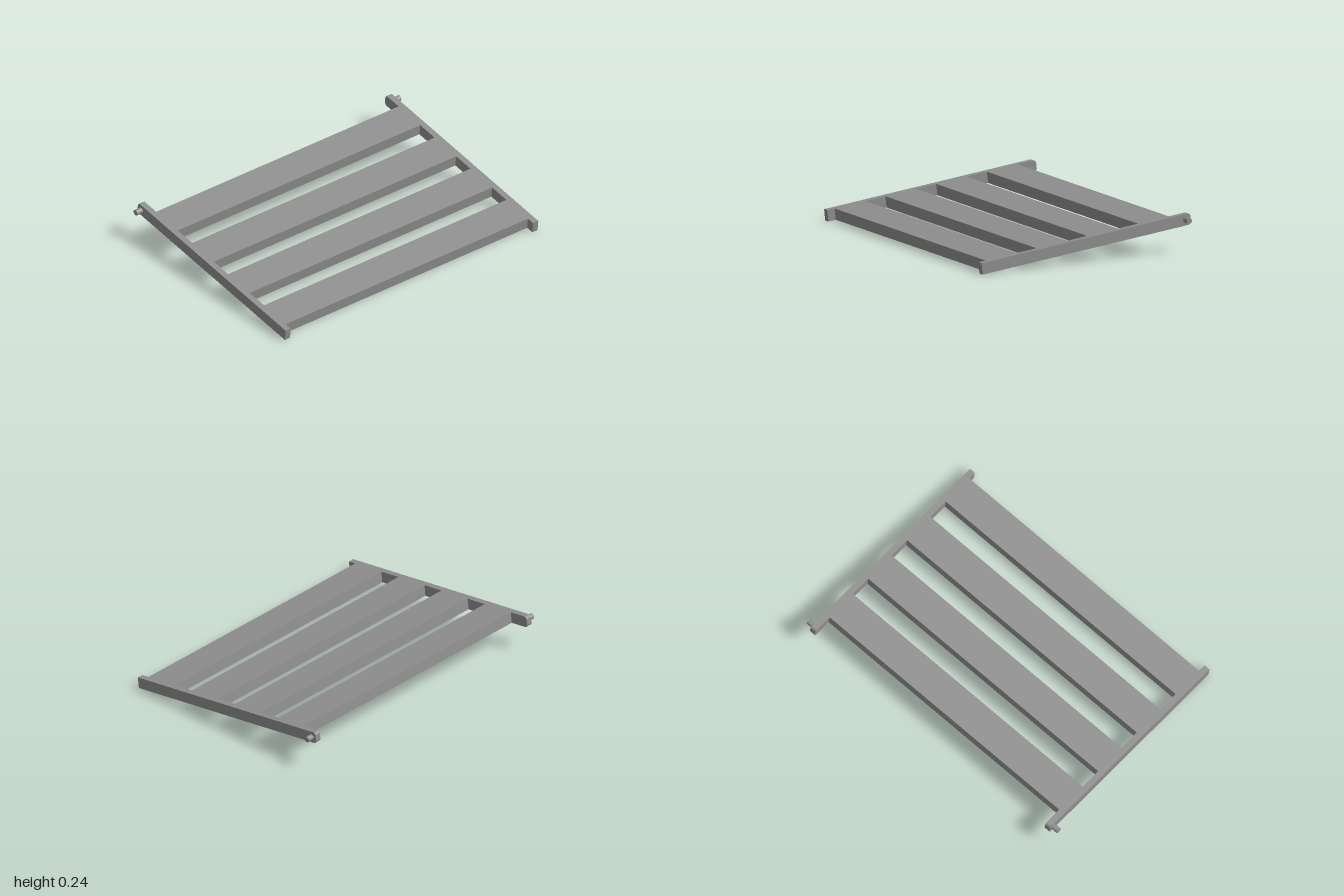
import * as THREE from 'three';

export function createModel() {
  const model = new THREE.Group();
  model.name = 'slattedRack';
  const grey = new THREE.MeshStandardMaterial({ color: 0x909090 });
  grey.name = 'grey';

  const half = 0.719, h = 0.035, r = 0.02;      // rail half length, half thickness, corner radius
  const inner = 0.918, outer = 0.957;           // rail faces in x

  const add = (name, geometry, x, y, z) => {
    const mesh = new THREE.Mesh(geometry, grey);
    mesh.name = name;
    mesh.position.set(x, y, z);
    model.add(mesh);
  };

  // Side rail outline: square front end, rounded back end (shape +x becomes -z)
  const outline = new THREE.Shape();
  outline.moveTo(-half, -h);
  outline.lineTo(half - r, -h);
  outline.absarc(half - r, -h + r, r, -Math.PI / 2, 0, false);
  outline.lineTo(half, h - r);
  outline.absarc(half - r, h - r, r, 0, Math.PI / 2, false);
  outline.lineTo(-half, h);
  outline.closePath();
  const railGeometry = new THREE.ExtrudeGeometry(outline, {
    depth: outer - inner, bevelEnabled: false, curveSegments: 8,
  });
  railGeometry.translate(0, 0, -(outer - inner) / 2).rotateY(Math.PI / 2);

  // Pivot pin, long enough to sink into its rail
  const pinGeometry = new THREE.CylinderGeometry(0.018, 0.018, 0.06, 24).rotateZ(Math.PI / 2);

  for (const [side, s] of [['left', 1], ['right', -1]]) {
    add(side + 'Rail', railGeometry, s * (inner + outer) / 2, 0, 0);
    add(side + 'PivotPin', pinGeometry, s * 0.97, 0, -0.685);
  }

  // Four wide slats flush with the rails
  const slatGeometry = new THREE.BoxGeometry(inner * 2, h * 2, 0.211);
  for (let i = 0; i < 4; i++) add('slat' + (i + 1), slatGeometry, 0, 0, -0.487 + i * 0.35);

  // Tilt so the pivot end is raised and the front end rests on the ground
  const tilt = 0.117;
  model.rotation.x = tilt;
  model.position.y = half * Math.sin(tilt) + h * Math.cos(tilt);

  const root = new THREE.Group();
  root.name = 'rack';
  root.add(model);
  return root;
}
